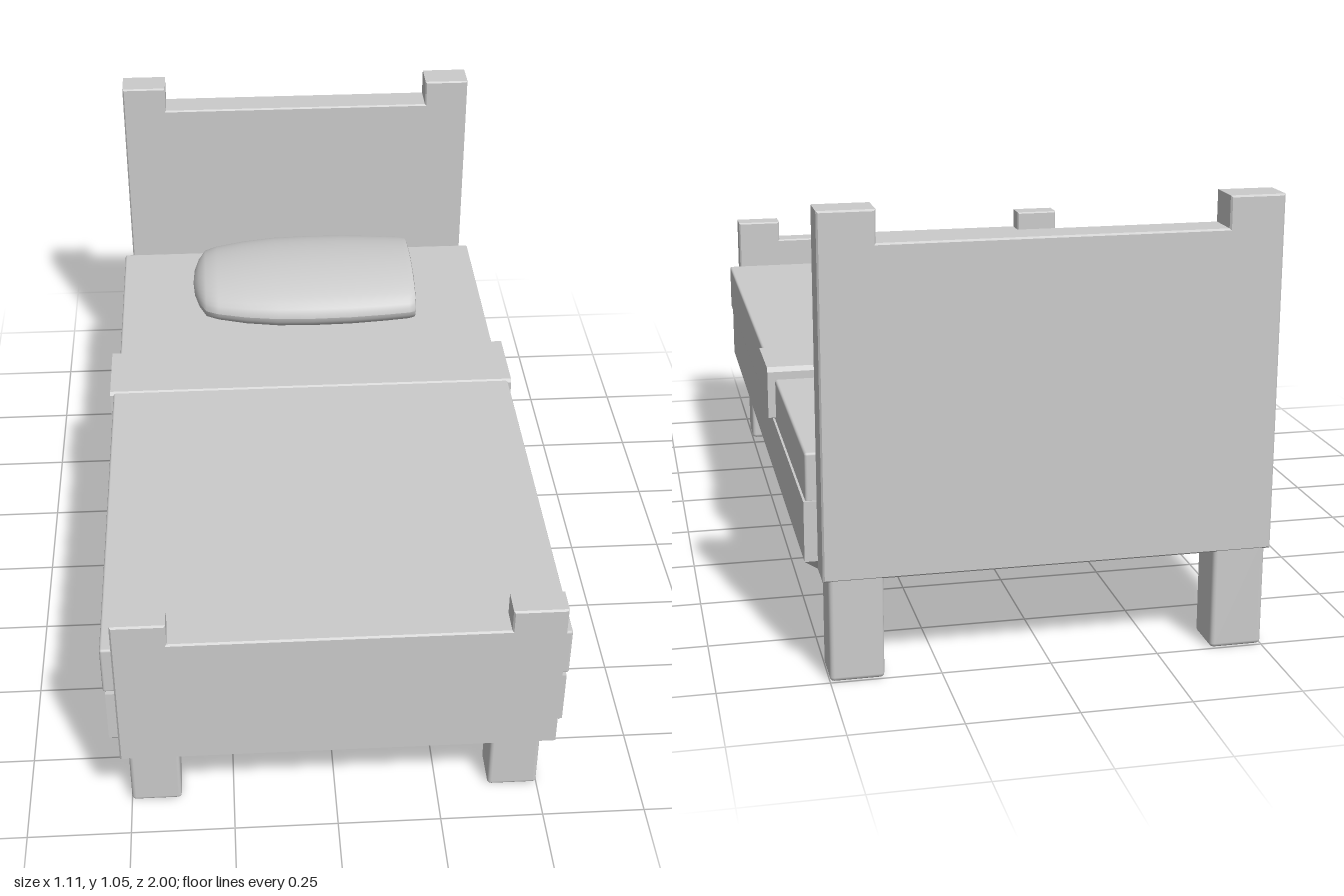
import * as THREE from 'three';
import { RoundedBoxGeometry } from 'three/addons/geometries/RoundedBoxGeometry.js';

const material = new THREE.MeshStandardMaterial({ color: 0xcccccc });

function add(group, name, geometry, x = 0, y = 0, z = 0) {
  const mesh = new THREE.Mesh(geometry, material);
  mesh.name = name;
  mesh.position.set(x, y, z);
  group.add(mesh);
  return mesh;
}

// Softly edged block given by its limits
function block(group, name, [x0, x1], [y0, y1], [z0, z1], radius = 0.006) {
  const geometry = new RoundedBoxGeometry(x1 - x0, y1 - y0, z1 - z0, 2, radius);
  return add(group, name, geometry, (x0 + x1) / 2, (y0 + y1) / 2, (z0 + z1) / 2);
}

// Board with a raised post at each end, extruded from z0 to z1
function endBoard(group, name, bottom, panelTop, postTop, z0, z1) {
  const w = 0.512, inner = 0.387, bevel = 0.004;
  const half = [[w, bottom], [w, postTop], [inner, postTop], [inner, panelTop]];
  const outline = [...half, ...half.map(([x, y]) => [-x, y]).reverse()];
  const shape = new THREE.Shape(outline.map(([x, y]) => new THREE.Vector2(x, y)));
  const geometry = new THREE.ExtrudeGeometry(shape, {
    depth: z1 - z0 - 2 * bevel, bevelThickness: bevel, bevelSize: bevel,
    bevelOffset: -bevel, bevelSegments: 1,
  });
  add(group, name, geometry, 0, 0, z0 + bevel);
}

// Bed base whose lower edge is chamfered inward on all sides
function frameGeometry() {
  const geometry = new THREE.BoxGeometry(1.08, 0.17, 1.83, 1, 2, 1).toNonIndexed();
  const p = geometry.attributes.position;
  for (let i = 0; i < p.count; i++) {
    const y = p.getY(i);
    if (y < -0.05) {
      p.setX(i, p.getX(i) - Math.sign(p.getX(i)) * 0.035);
      p.setZ(i, p.getZ(i) - Math.sign(p.getZ(i)) * 0.025);
    } else if (y < 0.05) p.setY(i, -0.055);
  }
  geometry.computeVertexNormals();
  return geometry;
}

// Pillow: a turned profile laid along x, flattened into an oval
function pillowGeometry() {
  const profile = [
    [0, -0.322], [0.06, -0.318], [0.115, -0.305], [0.16, -0.285], [0.178, -0.25],
    [0.2, -0.17], [0.214, -0.08], [0.218, 0.02], [0.216, 0.13], [0.208, 0.23],
    [0.2, 0.3], [0.193, 0.318], [0.182, 0.32], [0.168, 0.308], [0.15, 0.292],
    [0.135, 0.297], [0.11, 0.315], [0.06, 0.328], [0, 0.333],
  ].map(([r, x]) => new THREE.Vector2(r, x));
  const geometry = new THREE.LatheGeometry(profile, 40);
  geometry.rotateZ(-Math.PI / 2);
  geometry.scale(1, 0.367, 1);
  geometry.computeVertexNormals();
  return geometry;
}

export function createModel() {
  const bed = new THREE.Group();
  bed.name = 'bed';

  // Wooden parts
  endBoard(bed, 'headboard', 0.235, 0.98, 1.052, -1, -0.912);
  endBoard(bed, 'footboard', 0.25, 0.605, 0.662, 0.932, 1);
  add(bed, 'frame', frameGeometry(), 0, 0.305, 0.01);
  for (const side of [-1, 1]) {
    const label = side > 0 ? 'left' : 'right';
    const xs = side > 0 ? [0.378, 0.5] : [-0.5, -0.378];
    block(bed, label + 'FrontLeg', xs, [0, 0.24], [0.795, 0.897], 0.01);
    block(bed, label + 'BackLeg', xs, [0, 0.26], [-0.998, -0.893], 0.01);
  }

  // Bedding
  block(bed, 'mattress', [-0.535, 0.535], [0.385, 0.5], [-0.9, 0.9]);
  block(bed, 'blanket', [-0.545, 0.545], [0.397, 0.527], [-0.3, 0.925]);

  // Turned-down blanket band with a slanted lower corner at its sides
  const fold = new THREE.Shape([
    [0.305, 0.402], [0.305, 0.52], [0.295, 0.531], [0.105, 0.531],
    [0.097, 0.523], [0.097, 0.44], [0.2, 0.402],
  ].map(([z, y]) => new THREE.Vector2(z, y)));
  const foldGeometry = new THREE.ExtrudeGeometry(fold, { depth: 1.108, bevelEnabled: false });
  foldGeometry.translate(0, 0, -0.554);
  foldGeometry.rotateY(Math.PI / 2);
  add(bed, 'blanketFold', foldGeometry);

  add(bed, 'pillow', pillowGeometry(), 0, 0.576, -0.592);
  return bed;
}
